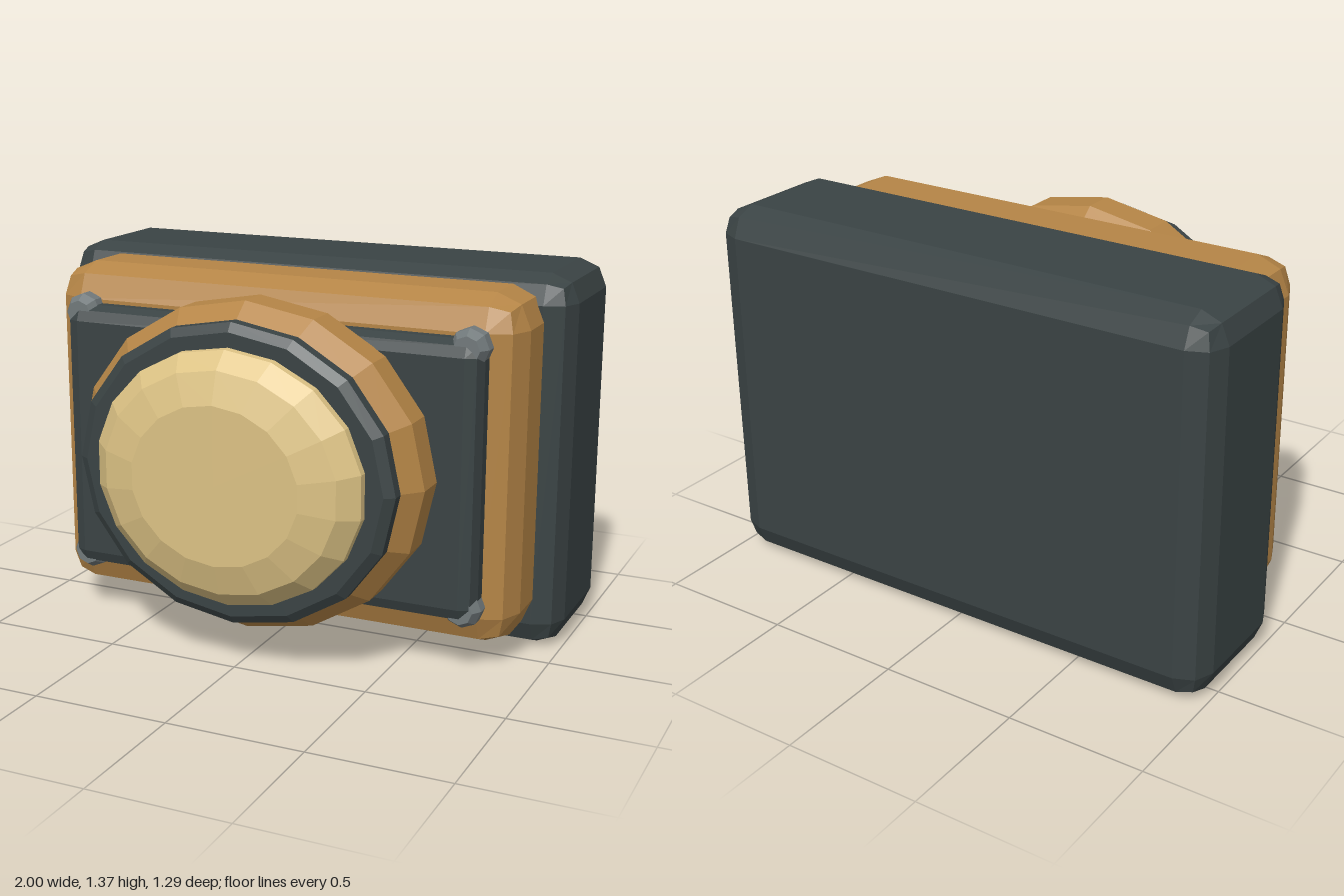
import * as THREE from 'three';
import { RoundedBoxGeometry } from 'three/addons/geometries/RoundedBoxGeometry.js';

const flat = (name, color) => {
  const m = new THREE.MeshStandardMaterial({ color, flatShading: true });
  m.name = name;
  return m;
};

export function createModel() {
  const charcoal = flat('charcoal', 0x3a4344);
  const bronze = flat('bronze', 0xb58546);
  const cream = flat('cream', 0xdcc284);
  const steel = flat('steel', 0x71797b);

  const model = new THREE.Group();
  model.name = 'buttonBox';

  const add = (name, geometry, material, x, y, z) => {
    const mesh = new THREE.Mesh(geometry, material);
    mesh.name = name;
    mesh.position.set(x, y, z);
    model.add(mesh);
    return mesh;
  };

  // Bevelled box between two depths, with a two-step rounded edge
  const block = (name, material, halfW, y0, y1, z0, z1, radius) =>
    add(name, new RoundedBoxGeometry(halfW * 2, y1 - y0, z1 - z0, 1, radius),
      material, 0, (y0 + y1) / 2, (z0 + z1) / 2);

  // Turned part facing +z; profile is a list of [radius, z]
  const turned = (profile, sides) => {
    const points = profile.map(([r, z]) => new THREE.Vector2(r, z));
    return new THREE.LatheGeometry(points, sides).rotateX(Math.PI / 2);
  };

  // Stacked housing
  block('backHousing', charcoal, 1, 0, 1.365, -0.645, -0.085, 0.1);
  block('frontHousing', bronze, 0.905, 0.075, 1.33, -0.35, 0.185, 0.122);
  block('facePlate', charcoal, 0.8, 0.2, 1.195, 0.08, 0.275, 0.055);

  // Slightly flattened round button
  const oval = (name, material, profile, sides) => {
    add(name, turned(profile, sides), material, 0, 0.705, 0).scale.y = 0.895;
  };
  oval('buttonBezel', bronze,
    [[0, 0.185], [0.575, 0.185], [0.66, 0.27], [0.66, 0.39], [0.595, 0.462], [0, 0.462]], 16);
  oval('buttonCollar', charcoal,
    [[0, 0.455], [0.6, 0.455], [0.6, 0.5], [0.565, 0.522], [0, 0.522]], 16);
  oval('buttonDome', cream,
    [[0, 0.5], [0.508, 0.5], [0.505, 0.55], [0.44, 0.61], [0.315, 0.645], [0, 0.645]], 18);

  // Corner bolts
  const bolt = turned([[0, 0.15], [0.07, 0.18], [0.07, 0.225], [0.048, 0.26], [0, 0.26]], 8);
  for (const x of [-0.745, 0.745]) {
    for (const y of [0.245, 1.165]) add('cornerBolt', bolt, steel, x, y, 0);
  }

  return model;
}
